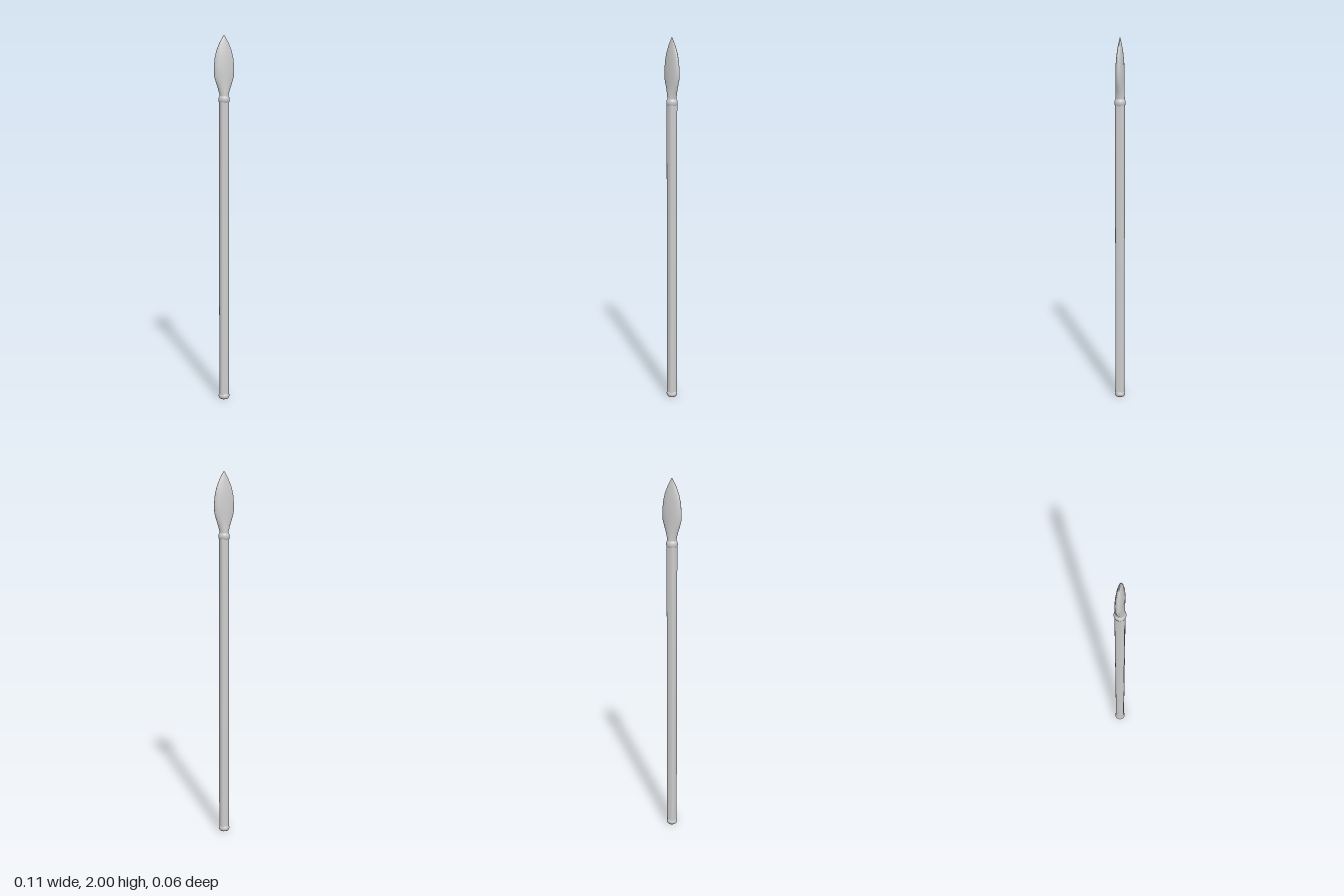
import * as THREE from 'three';
import { mergeVertices } from 'three/addons/utils/BufferGeometryUtils.js';

const material = new THREE.MeshStandardMaterial({ color: 0xcccccc });

// Round part turned from [radius, height] points
function turned(name, points) {
  const profile = points.map(([r, y]) => new THREE.Vector2(r, y));
  const mesh = new THREE.Mesh(new THREE.LatheGeometry(profile, 24), material);
  mesh.name = name;
  return mesh;
}

// Smooth tube through sections: [height, half width, half depth].
// Power 2 gives ovals, higher powers give rounded rectangles.
function lofted(name, sections, power) {
  const rows = sections.length - 1;
  const round = (v) => Math.sign(v) * Math.abs(v) ** (2 / power);
  let geometry = new THREE.CylinderGeometry(1, 1, rows, 24, rows, true);
  const p = geometry.attributes.position;
  for (let i = 0; i < p.count; i++) {
    const [y, w, d] = sections[Math.round(p.getY(i) + rows / 2)];
    p.setXYZ(i, round(p.getX(i)) * w, y, round(p.getZ(i)) * d);
  }
  geometry.deleteAttribute('uv');
  geometry.deleteAttribute('normal');
  geometry = mergeVertices(geometry, 1e-5);
  geometry.computeVertexNormals();
  const mesh = new THREE.Mesh(geometry, material);
  mesh.name = name;
  return mesh;
}

export function createModel() {
  const group = new THREE.Group();
  group.name = 'spear';
  group.add(
    // Shaft with softly squared section
    lofted('shaft', [[0.01, 0.025, 0.025], [1.66, 0.025, 0.025]], 3),
    // Rounded ring where the blade meets the shaft
    turned('collar', [[0.024, 1.645], [0.028, 1.652], [0.03, 1.66], [0.03, 1.668], [0.028, 1.676], [0.023, 1.684]]),
    // Closed foot of the shaft
    turned('buttCap', [[0, 0], [0.024, 0], [0.028, 0.005], [0.03, 0.012], [0.03, 0.018], [0.028, 0.025], [0.024, 0.031]]),
    // Leaf-shaped blade with oval sections
    lofted('blade', [
      [1.66, 0.024, 0.025], [1.69, 0.024, 0.025], [1.72, 0.033, 0.023],
      [1.75, 0.044, 0.022], [1.785, 0.055, 0.022], [1.83, 0.057, 0.022],
      [1.88, 0.052, 0.019], [1.92, 0.042, 0.015], [1.96, 0.025, 0.009],
      [1.985, 0.01, 0.004], [2, 0.0005, 0.0005],
    ], 2),
  );
  return group;
}
